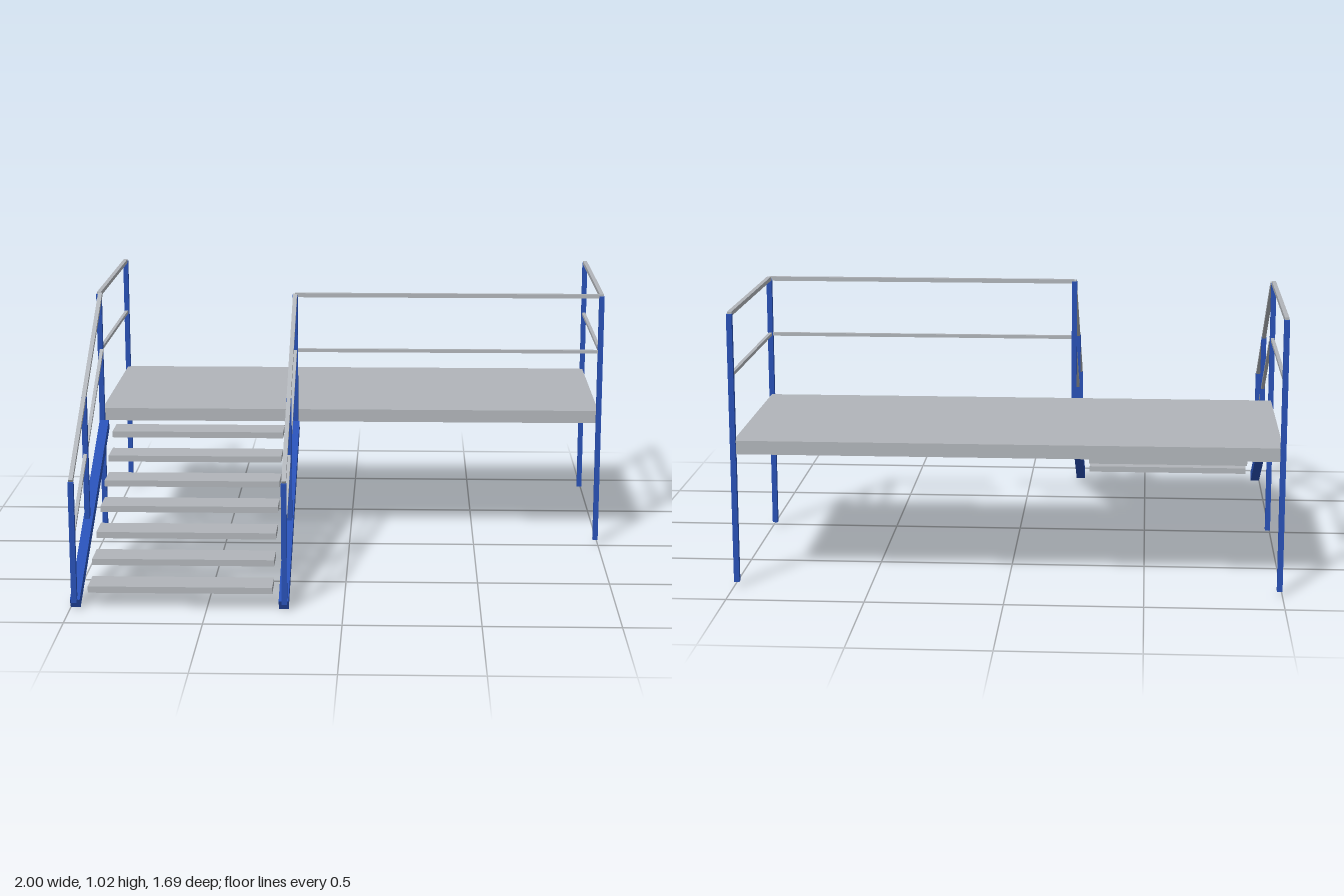
import * as THREE from 'three';

const steel = new THREE.MeshStandardMaterial({ color: 0xb0b4b9 });
steel.name = 'greySteel';
const blue = new THREE.MeshStandardMaterial({ color: 0x2850b4 });
blue.name = 'bluePaint';

const BACK = -0.835, FRONT = -0.025, FOOT = 0.835;   // post rows along z
const SIDE = 0.99, INNER = -0.215;                   // post rows along x

export function createModel() {
  const group = new THREE.Group();

  const box = (name, mat, w, h, d, x, y, z) => {
    const mesh = new THREE.Mesh(new THREE.BoxGeometry(w, h, d), mat);
    mesh.name = name;
    mesh.position.set(x, y, z);
    group.add(mesh);
    return mesh;
  };
  const post = (name, x, z, y0, y1) =>
    box(name, blue, 0.02, y1 - y0, 0.02, x, (y0 + y1) / 2, z);
  // square bar running between two points
  const bar = (name, mat, w, h, a, b) => {
    const p = new THREE.Vector3(...a), q = new THREE.Vector3(...b);
    const mesh = box(name, mat, w, h, p.distanceTo(q), 0, 0, 0);
    mesh.position.copy(p).add(q).multiplyScalar(0.5);
    mesh.lookAt(q);
    return mesh;
  };
  // top rail and middle rail at given heights
  const rails = (name, x0, z0, top0, mid0, x1, z1, top1, mid1) => {
    bar(name + 'TopRail', steel, 0.016, 0.016, [x0, top0, z0], [x1, top1, z1]);
    bar(name + 'MiddleRail', steel, 0.013, 0.013, [x0, mid0, z0], [x1, mid1, z1]);
  };

  // platform
  box('deck', steel, 1.98, 0.05, 0.8, 0, 0.525, -0.435);

  // corner legs rising into railing posts
  for (const x of [-SIDE, SIDE])
    for (const z of [BACK, FRONT]) post('cornerPost', x, z, 0.02, 1.015);
  post('innerPost', INNER, FRONT, 0.48, 1.015);

  // platform railings: both ends and the front beside the stairs
  for (const x of [-SIDE, SIDE])
    rails('side', x, BACK, 1.015, 0.793, x, FRONT, 1.015, 0.793);
  rails('front', INNER, FRONT, 1.015, 0.793, SIDE, FRONT, 1.015, 0.793);

  // stair sides: sloping beam, posts and handrails
  for (const [x, beamX] of [[-SIDE + 0.005, -0.982], [INNER, -0.218]]) {
    bar('stringer', blue, 0.036, 0.04, [beamX, 0.02, 0.835], [beamX, 0.488, -0.025]);
    post('stairFootPost', x, FOOT, 0.025, 0.48);
    post('stairMiddlePost', x, 0.468, 0.23, 0.71);
    rails('stair', x, FOOT, 0.482, 0.268, x, FRONT, 1.015, 0.793);
  }

  // treads
  for (let i = 0; i < 7; i++)
    box('tread', steel, 0.675, 0.024, 0.123, -0.5975, 0.073 + i * 0.0667, 0.771 - i * 0.1235);

  return group;
}
